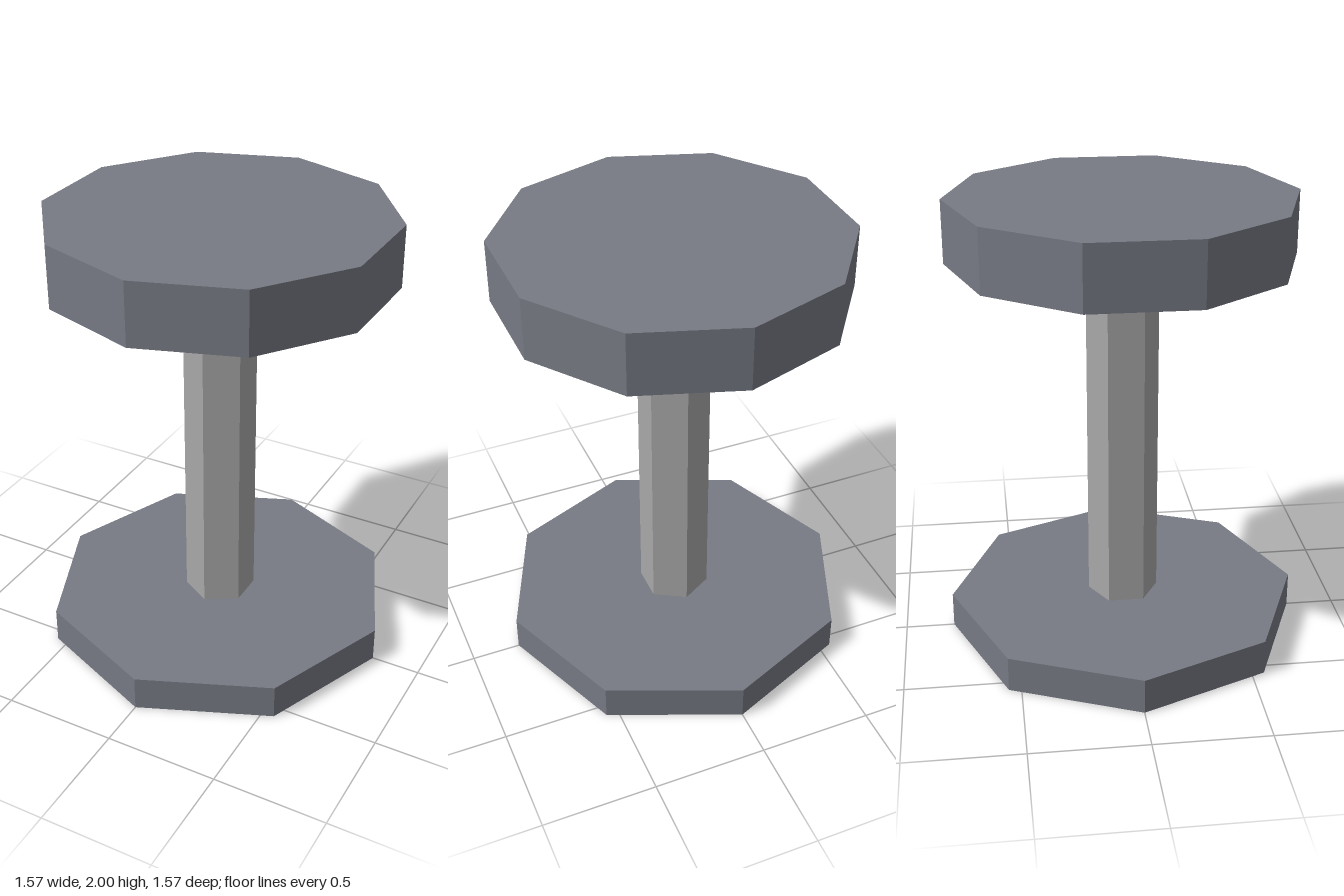
import * as THREE from 'three';

export function createModel() {
  const model = new THREE.Group();
  model.name = 'stool';

  const slate = new THREE.MeshStandardMaterial({ color: 0x777a84, flatShading: true });
  slate.name = 'slate grey';
  const steel = new THREE.MeshStandardMaterial({ color: 0xa8a8a9, flatShading: true });
  steel.name = 'light steel';

  // Upright prism from y0 to y1, first corner facing +z
  function prism(name, radius, sides, y0, y1, material) {
    const mesh = new THREE.Mesh(new THREE.CylinderGeometry(radius, radius, y1 - y0, sides), material);
    mesh.name = name;
    mesh.position.y = (y0 + y1) / 2;
    model.add(mesh);
  }

  prism('base', 0.784, 8, 0, 0.157, slate);
  prism('post', 0.157, 6, 0.157, 1.728, steel);
  prism('seat', 0.745, 10, 1.728, 2, slate);

  return model;
}
